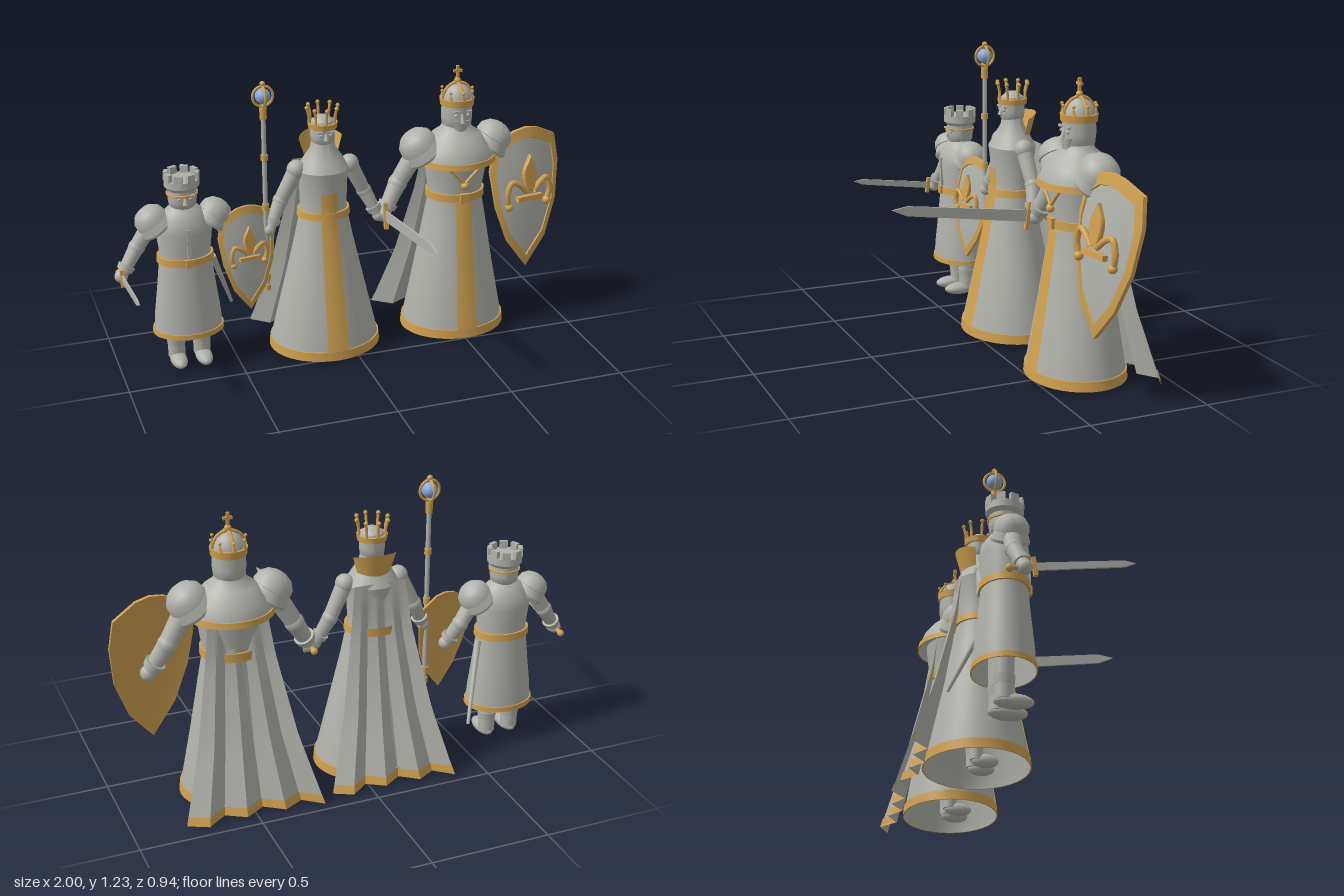
import * as THREE from 'three';
import { toCreasedNormals } from 'three/addons/utils/BufferGeometryUtils.js';

const V = (x, y, z) => new THREE.Vector3(x, y, z);
const material = (name, color) => {
  const m = new THREE.MeshStandardMaterial({ color, side: THREE.DoubleSide });
  m.name = name;
  return m;
};
const stone = material('stone grey', 0xb2b2ac);
const gold = material('gold', 0xd0a050);
const blue = material('orb blue', 0x86a9d8);

function add(parent, name, geo, mat, x = 0, y = 0, z = 0) {
  const m = new THREE.Mesh(geo, mat);
  m.name = name;
  m.position.set(x, y, z);
  parent.add(m);
  return m;
}
function group(parent, name, x = 0, y = 0, z = 0) {
  const g = new THREE.Group();
  g.name = name;
  g.position.set(x, y, z);
  parent.add(g);
  return g;
}
const box = (w, h, d) => new THREE.BoxGeometry(w, h, d);
const ball = (r) => new THREE.SphereGeometry(r, 16, 12);

// Turned part from [radius, height] pairs, squashed in depth
function lathe(parent, name, pts, mat, sz = 1, y = 0) {
  const geo = new THREE.LatheGeometry(pts.map((p) => new THREE.Vector2(...p)), 40);
  const m = add(parent, name, toCreasedNormals(geo, 0.6), mat, 0, y);
  m.scale.z = sz;
  return m;
}
// Tapered rod between two points
function rod(parent, name, a, b, ra, rb, mat) {
  const m = add(parent, name, new THREE.CylinderGeometry(rb, ra, a.distanceTo(b), 14), mat);
  m.position.copy(a).lerp(b, 0.5);
  m.quaternion.setFromUnitVectors(V(0, 1, 0), b.clone().sub(a).normalize());
  return m;
}
function tube(parent, name, pts, r, mat) {
  return add(parent, name, new THREE.TubeGeometry(new THREE.CatmullRomCurve3(pts), 20, r, 7), mat);
}
// Sheet whose points follow f(u, v), u in -1..1, v in 0..1
function sheet(parent, name, nu, nv, f, mat) {
  const geo = new THREE.PlaneGeometry(2, 1, nu, nv), p = geo.attributes.position;
  for (let i = 0; i < p.count; i++) p.setXYZ(i, ...f(p.getX(i), p.getY(i) + 0.5));
  geo.computeVertexNormals();
  return add(parent, name, toCreasedNormals(geo, 0.5), mat);
}
// Linear lookup in [value, height] pairs
function at(pts, y) {
  for (let i = 1; i < pts.length; i++) {
    const [r0, y0] = pts[i - 1], [r1, y1] = pts[i];
    if (y <= y1) return THREE.MathUtils.lerp(r0, r1, Math.max(0, (y - y0) / (y1 - y0)));
  }
  return pts[pts.length - 1][0];
}
const ring = (parent, name, pts, y0, y1, sz, out = 0.006) =>
  lathe(parent, name, [[at(pts, y0), y0], [at(pts, y0) + out, y0], [at(pts, y1) + out, y1], [at(pts, y1), y1]], gold, sz);

// Gold panel down the front of a robe
function frontPanel(parent, pts, y0, y1, sz) {
  sheet(parent, 'frontPanel', 6, 12, (u, v) => {
    const y = y0 + (y1 - y0) * v, x = u * (0.046 - 0.012 * v), r = at(pts, y);
    return [x, y, sz * Math.sqrt(r * r - x * x) + 0.005];
  }, gold);
}
// Folded cape with gold hem
function cape(parent, top, wide) {
  const half = [[wide, 0.01], [wide * 0.72, 0.3], [wide * 0.5, 0.64], [wide * 0.42, top]];
  const back = [[0.235, 0.01], [0.165, 0.3], [0.105, 0.62], [0.085, top]];
  const point = (y0, y1, off) => (u, v) => {
    const y = y0 + (y1 - y0) * v, k = 1 - y / top;
    const fold = Math.abs(((u + 1) * 3.5) % 2 - 1) * 2 - 1;
    return [u * at(half, y), y, -at(back, y) - k * (0.026 * fold + 0.025 * u * u) - off];
  };
  sheet(parent, 'cape', 28, 16, point(0.01, top, 0), stone);
  sheet(parent, 'capeHem', 28, 1, point(0.01, 0.045, 0.004), gold);
  sheet(parent, 'capeStrap', 6, 1, (u, v) => [u * 0.075, 0.62 + 0.035 * v, -0.114 + 0.02 * u * u], gold);
}
// Jointed arm; returns the hand position
function arm(parent, side, s, e, h, r, plated) {
  const g = group(parent, side < 0 ? 'rightArm' : 'leftArm');
  const [S, E, H] = [s, e, h].map((p) => V(p[0] * side, p[1], p[2]));
  rod(g, 'upperArm', S, E, r, r * 0.85, stone);
  rod(g, 'forearm', E, H, r * 0.9, r * 0.65, stone);
  add(g, 'shoulderJoint', ball(r * 1.15), stone).position.copy(S);
  add(g, 'elbow', ball(r * 0.95), stone).position.copy(E);
  add(g, 'hand', ball(r * 0.75), stone).position.copy(H);
  rod(g, 'cuff', H.clone().lerp(E, 0.2), H.clone().lerp(E, 0.38), r * 0.9, r, stone);
  if (plated) { // layered shoulder plate opening toward the arm
    const k = r / 0.044;
    const p = lathe(g, 'shoulderPlate', [[0.088, -0.062], [0.092, -0.05], [0.078, -0.012], [0.084, -0.01],
      [0.078, 0.025], [0.055, 0.052], [0.025, 0.064], [0, 0.067]].map((q) => [q[0] * k, q[1] * k]), stone, 0.95);
    p.position.copy(S).add(V(0.012 * side, 0.004, 0));
    p.rotation.z = -0.62 * side;
  }
  return H;
}
// Sword pointing forward from the hand
function sword(parent, hand, len, h) {
  const g = group(parent, 'sword', hand.x, hand.y, hand.z);
  g.rotation.x = -0.14;
  const s = new THREE.Shape([[0.03, -h / 2], [len - h * 1.4, -h * 0.42], [len, 0], [len - h * 1.4, h * 0.42], [0.03, h / 2]]
    .map((p) => new THREE.Vector2(...p)));
  const blade = add(g, 'blade', new THREE.ExtrudeGeometry(s, { depth: 0.008, bevelEnabled: false }), stone, 0.004);
  blade.rotation.y = -Math.PI / 2;
  add(g, 'guard', box(0.018, h * 2.4, 0.016), gold, 0, 0, 0.035);
  rod(g, 'grip', V(0, 0, -0.05), V(0, 0, 0.035), 0.009, 0.009, gold);
  add(g, 'pommel', ball(0.015), gold, 0, 0, -0.055);
}
// Bowed heater shield with raised rim and crest
function shield(parent, x, y, z, k) {
  const g = group(parent, 'shield', x, y, z);
  g.scale.setScalar(k);
  const outline = [[0.178, 0.12], [0.16, 0.24], [0.06, 0.29], [0, 0.3], [-0.06, 0.29], [-0.155, 0.235],
    [-0.178, 0.12], [-0.155, -0.04], [-0.1, -0.2], [0, -0.335], [0.1, -0.21], [0.16, -0.05]];
  const bend = (px, py) => -0.1 * py - 1.2 * px * px - 0.2 * px - 0.25 * py * py;
  const loft = (name, rings, mat) => {
    const pos = [], idx = [], n = outline.length;
    rings.forEach(([s, off]) => outline.forEach(([a, b]) => pos.push(a * s, b * s, bend(a * s, b * s) + off)));
    for (let i = 0; i < rings.length - 1; i++) for (let j = 0; j < n; j++) {
      const a = i * n + j, d = i * n + (j + 1) % n;
      idx.push(a, a + n, d + n, a, d + n, d);
    }
    const geo = new THREE.BufferGeometry();
    geo.setAttribute('position', new THREE.Float32BufferAttribute(pos, 3));
    geo.setIndex(idx);
    add(g, name, toCreasedNormals(geo, 0.5), mat);
  };
  loft('shieldField', [[0.001, 0], [0.3, 0], [0.6, 0], [0.84, 0]], stone);
  loft('shieldRim', [[0.84, 0], [0.85, 0.007], [1, 0.007], [1, -0.01], [0.7, -0.01], [0.35, -0.01], [0.001, -0.01]], gold);
  const c = group(g, 'crest', 0, 0, 0.012);
  c.rotation.set(-0.1, 0.2, 0);
  const leaf = new THREE.Shape();
  leaf.moveTo(0, 0.185);
  leaf.bezierCurveTo(0.015, 0.14, 0.055, 0.13, 0.014, 0.03);
  leaf.lineTo(-0.014, 0.03);
  leaf.bezierCurveTo(-0.055, 0.13, -0.015, 0.14, 0, 0.185);
  add(c, 'crestLeaf', new THREE.ExtrudeGeometry(leaf, { depth: 0.012, bevelSize: 0.004, bevelThickness: 0.006, bevelSegments: 1 }), gold);
  add(c, 'crestBar', box(0.13, 0.022, 0.025), gold, 0, -0.005, 0.005);
  for (const s of [-1, 1]) {
    tube(c, 'crestScroll', [[0.1, -0.035, -0.008], [0.113, 0.02, 0], [0.092, 0.075, 0.005], [0.055, 0.06, 0.01], [0.018, 0.025, 0.012]]
      .map((p) => V(p[0] * s, p[1], p[2])), 0.013, gold);
    add(c, 'crestKnob', ball(0.019), gold, 0.1 * s, -0.035, -0.006);
  }
}
// Legs with pointed shoes
function legs(parent, gap, r, top) {
  for (const s of [-1, 1]) {
    rod(parent, 'leg', V(gap * s, 0.03, -0.01), V(gap * s, top, -0.01), r, r * 1.1, stone);
    add(parent, 'ankleCuff', new THREE.CylinderGeometry(r * 1.15, r * 1.05, 0.035, 14), stone, gap * s, 0.105, -0.01);
    const shoe = add(parent, 'shoe', new THREE.SphereGeometry(1, 14, 10), stone, gap * s, 0.028, 0.025);
    shoe.scale.set(r, 0.028, r * 2.1);
  }
}
// Head with nose, brows and eyes
function head(parent, y, r, h) {
  lathe(parent, 'head', [[r * 0.7, 0], [r * 0.95, h * 0.2], [r, h * 0.5], [r * 0.98, h]], stone, 1, y);
  rod(parent, 'nose', V(0, y + h * 0.35, r * 1.08), V(0, y + h * 0.7, r * 0.92), 0.011, 0.006, stone);
  for (const s of [-1, 1]) {
    add(parent, 'eye', ball(0.008), stone, r * 0.4 * s, y + h * 0.62, r * 0.9);
    add(parent, 'brow', box(0.03, 0.008, 0.012), stone, r * 0.42 * s, y + h * 0.76, r * 0.93);
  }
}
function crownRing(parent, y, r, h, n, f) {
  lathe(parent, 'crownBand', [[r - 0.01, 0], [r, 0], [r + 0.003, h], [r - 0.008, h], [r - 0.01, 0]], gold, 1, y);
  for (let i = 0; i < n; i++) f(group(parent, 'crownPoint', 0, y + h, 0)).rotation.y = (i / n) * Math.PI * 2;
}

function tower(root) {
  const g = group(root, 'towerFigure', -0.7, 0, -0.19);
  const body = [[0.146, 0.16], [0.14, 0.24], [0.122, 0.38], [0.11, 0.49], [0.108, 0.53], [0.118, 0.62], [0.11, 0.67], [0.075, 0.71], [0.05, 0.73]];
  legs(g, 0.055, 0.036, 0.3);
  lathe(g, 'tunic', body, stone, 0.8);
  ring(g, 'tunicHem', body, 0.16, 0.182, 0.8);
  ring(g, 'belt', body, 0.484, 0.514, 0.8, 0.01);
  add(g, 'frontSeam', box(0.014, 0.13, 0.012), stone, 0, 0.585, 0.093);
  add(g, 'buckle', box(0.03, 0.036, 0.012), gold, 0, 0.5, 0.098);
  head(g, 0.715, 0.06, 0.09);
  lathe(g, 'browBand', [[0.062, 0.776], [0.066, 0.778], [0.066, 0.786], [0.062, 0.788]], gold);
  lathe(g, 'turret', [[0.06, 0.8], [0.073, 0.815], [0.073, 0.845], [0.055, 0.845], [0, 0.84]], stone);
  for (let i = 0; i < 8; i++) {
    const a = ((i + 0.5) / 8) * Math.PI * 2;
    add(g, 'battlement', box(0.034, 0.036, 0.018), stone, 0.064 * Math.sin(a), 0.857, 0.064 * Math.cos(a)).rotation.y = a;
  }
  const right = arm(g, -1, [0.125, 0.675, 0], [0.2, 0.56, -0.005], [0.275, 0.45, 0.02], 0.037, true);
  arm(g, 1, [0.125, 0.675, 0], [0.2, 0.56, -0.005], [0.255, 0.47, 0.02], 0.037, true);
  sword(g, right, 0.41, 0.03);
  rod(g, 'scabbard', V(0.12, 0.47, -0.02), V(0.23, 0.17, -0.17), 0.014, 0.007, stone);
  shield(g, 0.257, 0.484, 0.07, 0.72);
}

function queen(root) {
  const g = group(root, 'queenFigure', -0.098, 0, -0.18);
  const robe = [[0.238, 0.01], [0.234, 0.05], [0.175, 0.3], [0.128, 0.5], [0.104, 0.62], [0.1, 0.66], [0.103, 0.76], [0.112, 0.82], [0.085, 0.865], [0.055, 0.91], [0.044, 0.96]];
  legs(g, 0.045, 0.026, 0.35);
  lathe(g, 'robe', robe, stone, 0.88);
  ring(g, 'robeHem', robe, 0.01, 0.05, 0.88);
  ring(g, 'belt', robe, 0.615, 0.645, 0.88, 0.01);
  frontPanel(g, robe, 0.05, 0.73, 0.88);
  cape(g, 0.84, 0.263);
  // Flared standing collar behind the head
  sheet(g, 'collar', 14, 3, (u, v) => {
    const r = 0.07 + 0.03 * v, a = u * 1.25;
    return [r * Math.sin(a), 0.85 + 0.115 * v - 0.02 * u * u * v, -r * Math.cos(a)];
  }, gold);
  head(g, 0.925, 0.052, 0.085);
  lathe(g, 'cap', [[0.052, 1.0], [0.046, 1.03], [0.025, 1.05], [0, 1.055]], stone);
  crownRing(g, 1.0, 0.06, 0.024, 8, (p) => {
    tube(p, 'spike', [V(0, -0.005, 0.058), V(0, 0.025, 0.058), V(0, 0.06, 0.066)], 0.006, gold);
    add(p, 'spikeBall', ball(0.009), gold, 0, 0.064, 0.067);
    return p;
  });
  for (const s of [-1, 1]) arm(g, s, [0.117, 0.825, 0], [0.185, 0.69, -0.01], [0.242, 0.575, 0.015], 0.035, false);
  // Staff with ringed orb
  const st = group(g, 'staff', -0.257, 0, 0.015);
  rod(st, 'shaft', V(0, 0.3, 0), V(0, 1.11, 0), 0.01, 0.01, stone);
  for (const y of [0.31, 0.36, 0.68, 0.9, 1.08, 1.105])
    add(st, 'staffCollar', new THREE.CylinderGeometry(0.015, 0.015, 0.025, 14), gold, 0, y, 0);
  add(st, 'orb', ball(0.033), blue, 0, 1.165, 0);
  for (let i = 0; i < 2; i++)
    add(st, 'orbRing', new THREE.TorusGeometry(0.043, 0.006, 8, 28), gold, 0, 1.165, 0).rotation.y = (i * Math.PI) / 2;
  add(st, 'finial', ball(0.012), gold, 0, 1.217, 0);
}

function king(root) {
  const g = group(root, 'kingFigure', 0.505, 0, -0.187);
  const robe = [[0.229, 0.01], [0.225, 0.05], [0.177, 0.3], [0.142, 0.5], [0.12, 0.62], [0.12, 0.66], [0.132, 0.74], [0.14, 0.8]];
  const mantle = [[0.17, 0.785], [0.166, 0.812], [0.145, 0.86], [0.105, 0.905], [0.07, 0.93], [0.058, 0.96]];
  legs(g, 0.045, 0.028, 0.35);
  lathe(g, 'robe', robe, stone, 0.86);
  ring(g, 'robeHem', robe, 0.01, 0.05, 0.86);
  ring(g, 'belt', robe, 0.622, 0.656, 0.86, 0.01);
  frontPanel(g, robe, 0.05, 0.615, 0.86);
  lathe(g, 'mantle', mantle, stone, 0.91);
  ring(g, 'mantleTrim', mantle, 0.785, 0.81, 0.91);
  cape(g, 0.82, 0.282);
  // Chain, pendant and buckle
  for (const s of [-1, 1]) rod(g, 'chain', V(0.08 * s, 0.79, 0.115), V(0, 0.71, 0.118), 0.007, 0.007, gold);
  add(g, 'pendant', ball(0.018), gold, 0, 0.7, 0.118);
  add(g, 'buckle', box(0.04, 0.042, 0.016), gold, 0, 0.64, 0.114);
  head(g, 0.925, 0.067, 0.12);
  const beard = add(g, 'beard', new THREE.ConeGeometry(0.045, 0.1, 14), stone, 0, 0.925, 0.052);
  beard.rotation.x = Math.PI - 0.1;
  beard.scale.z = 0.6;
  // Arched crown with cross
  lathe(g, 'crownCap', [[0.064, 1.04], [0.062, 1.075], [0.045, 1.108], [0.02, 1.122], [0, 1.125]], stone);
  crownRing(g, 1.035, 0.072, 0.03, 8, (p) => {
    const leaf = add(p, 'crownLeaf', new THREE.ConeGeometry(0.013, 0.035, 6), gold, 0, 0.015, 0.07);
    leaf.scale.z = 0.5;
    add(p, 'crownBall', ball(0.007), gold, 0, 0.034, 0.07);
    return p;
  });
  for (let i = 0; i < 2; i++)
    add(g, 'crownArch', new THREE.TorusGeometry(0.066, 0.007, 7, 24, Math.PI), gold, 0, 1.064, 0).rotation.y = (i * Math.PI) / 2;
  add(g, 'crownOrb', ball(0.014), gold, 0, 1.14, 0);
  add(g, 'crossUpright', box(0.012, 0.055, 0.012), gold, 0, 1.175, 0);
  add(g, 'crossBar', box(0.038, 0.011, 0.012), gold, 0, 1.18, 0);
  const pose = [[0.165, 0.865, 0], [0.262, 0.7, -0.01], [0.337, 0.575, 0.02]];
  const right = arm(g, -1, ...pose, 0.044, true);
  arm(g, 1, ...pose, 0.044, true);
  sword(g, right, 0.635, 0.048);
  shield(g, 0.317, 0.6, 0.075, 1);
}

export function createModel() {
  const root = new THREE.Group();
  root.name = 'royalFigures';
  tower(root);
  queen(root);
  king(root);
  return root;
}
